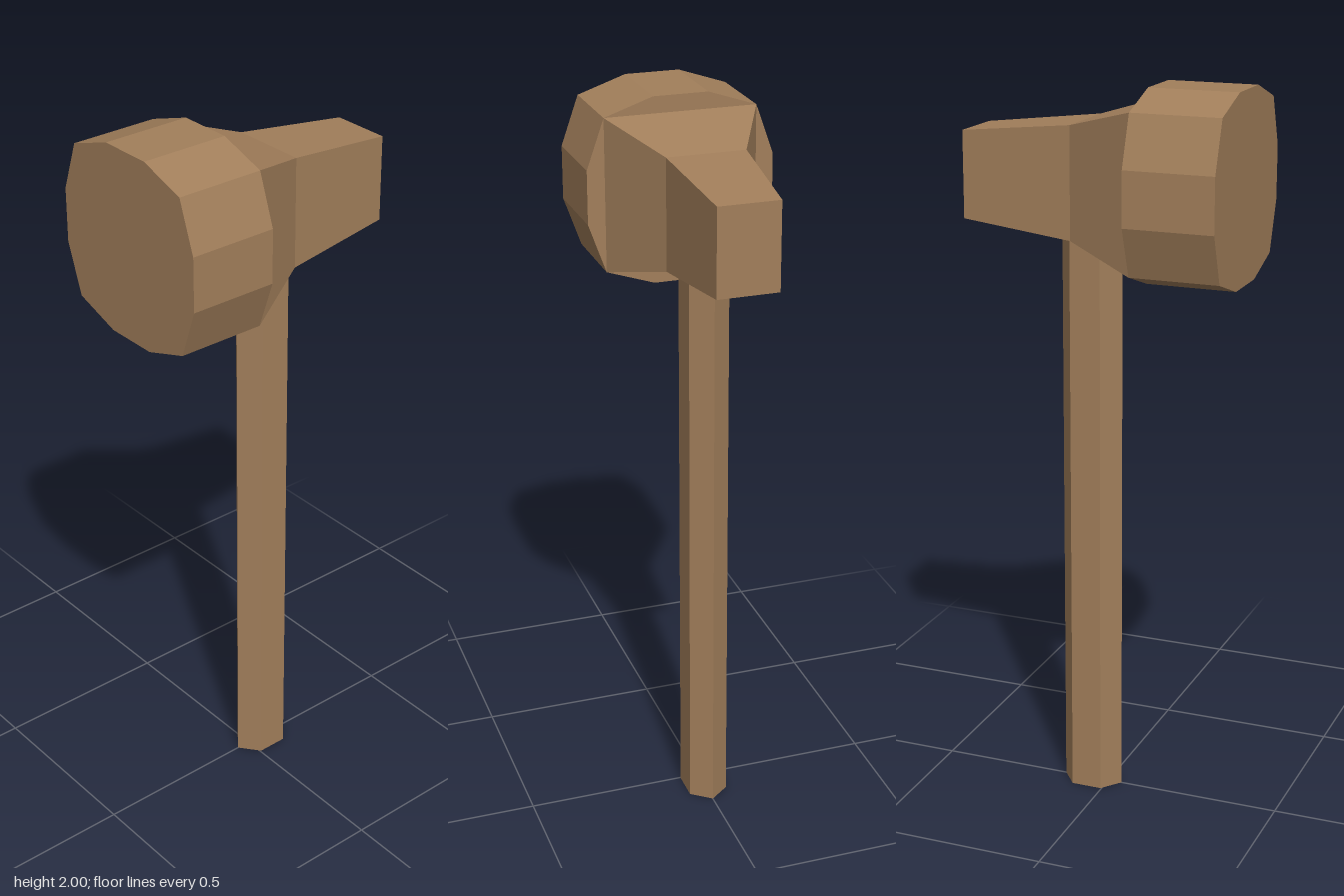
import * as THREE from 'three';

// Flat-shaded solid through rings of [x, y, z] points, counter-clockwise seen from the far end
function loft(rings, capStart = true, capEnd = true) {
  const pos = [];
  const tri = (a, b, c) => pos.push(...a, ...b, ...c);
  const n = rings[0].length;
  for (let r = 0; r < rings.length - 1; r++) {
    const a = rings[r], b = rings[r + 1];
    for (let i = 0; i < n; i++) {
      const j = (i + 1) % n;
      tri(a[i], a[j], b[j]);
      tri(a[i], b[j], b[i]);
    }
  }
  const first = rings[0], last = rings[rings.length - 1];
  for (let i = 1; i < n - 1; i++) {
    if (capStart) tri(first[0], first[i + 1], first[i]);
    if (capEnd) tri(last[0], last[i], last[i + 1]);
  }
  const g = new THREE.BufferGeometry();
  g.setAttribute('position', new THREE.Float32BufferAttribute(pos, 3));
  g.computeVertexNormals();
  return g;
}

export function createModel() {
  const group = new THREE.Group();
  const wood = new THREE.MeshStandardMaterial({ color: 0xa27f5b });
  wood.name = 'brown wood';
  const add = (name, geometry) => {
    const mesh = new THREE.Mesh(geometry, wood);
    mesh.name = name;
    group.add(mesh);
  };

  // Twelve-sided striking drum, lying along x
  const midY = 1.747;
  const quarter = [[0.253, 0.075], [0.208, 0.208], [0.073, 0.256]]; // [up, out]
  const outline = [
    ...quarter,
    ...quarter.map(([u, o]) => [-u, o]).reverse(),
    ...quarter.map(([u, o]) => [-u, -o]),
    ...quarter.map(([u, o]) => [u, -o]).reverse(),
  ];
  const drumRing = x => outline.map(([u, o]) => [x, midY + u, o]);
  add('strikingDrum', loft([drumRing(-0.38), drumRing(-0.137)]));

  // Square head tapering in two steps to the narrow end
  const square = (x, low, high, w) => [[x, high, -w], [x, high, w], [x, low, w], [x, low, -w]];
  add('taperedHead', loft([
    square(-0.137, 1.539, 1.955, 0.208),
    square(0.065, 1.597, 1.898, 0.107),
    square(0.38, 1.629, 1.864, 0.083),
  ], false));

  // Flattened six-sided handle, its top sunk into the head
  const hexRing = y => Array.from({ length: 6 }, (_, i) => {
    const a = i * Math.PI / 3 + Math.PI / 2;
    return [0.046 + 0.086 * Math.sin(a), y, 0.0635 * Math.cos(a)];
  });
  add('handle', loft([hexRing(0), hexRing(1.65)]));

  return group;
}
